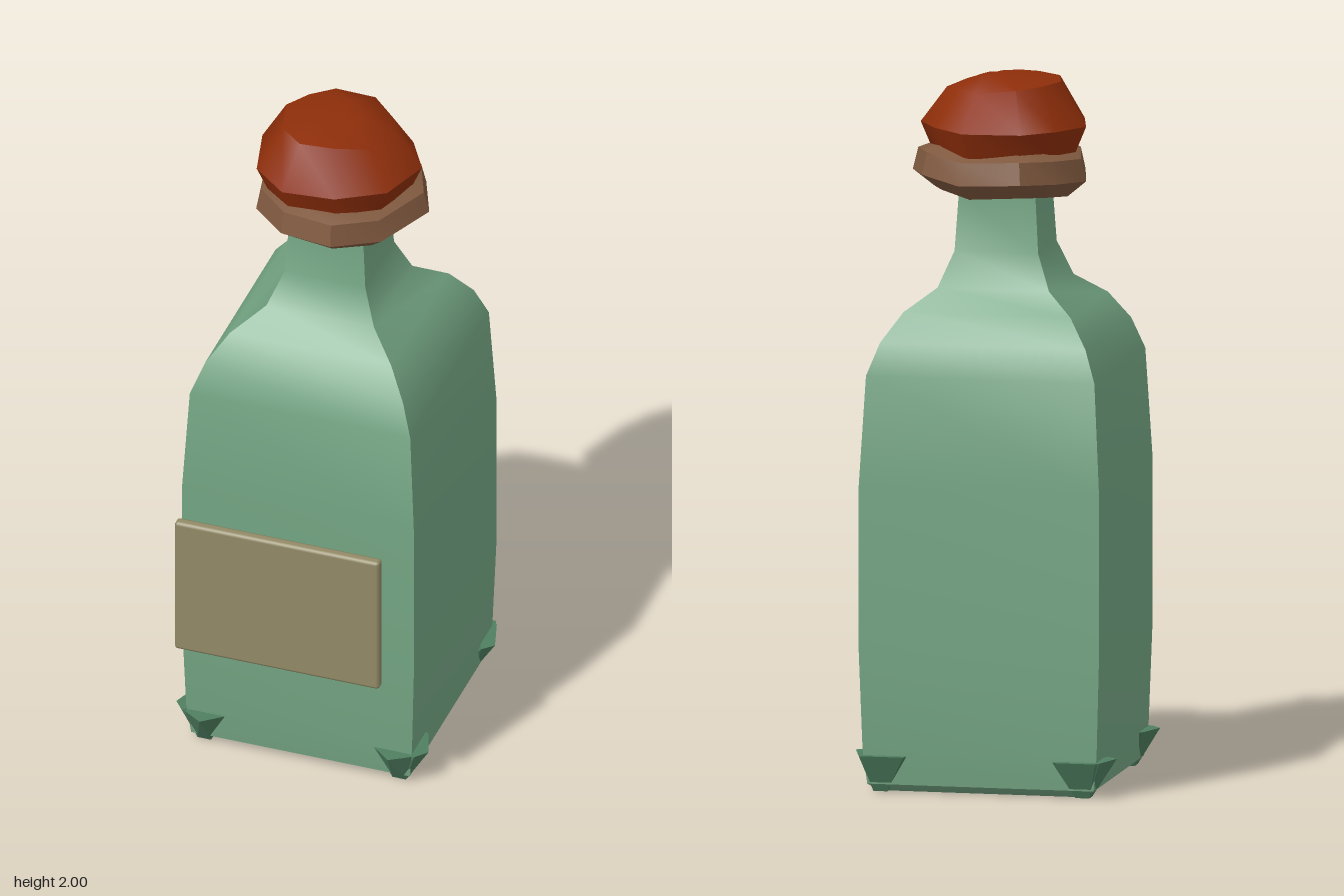
import * as THREE from 'three';
import { toCreasedNormals } from 'three/addons/utils/BufferGeometryUtils.js';
import { RoundedBoxGeometry } from 'three/addons/geometries/RoundedBoxGeometry.js';
import { ConvexGeometry } from 'three/addons/geometries/ConvexGeometry.js';

const CZ = -0.083; // depth of the bottle axis

function material(name, color) {
  const m = new THREE.MeshStandardMaterial({ color });
  m.name = name;
  return m;
}

// Skin over closed rings of [x, y, z] points, counterclockwise from above,
// listed bottom to top and capped at both ends
function loft(rings, crease) {
  const n = rings[0].length, pos = [], index = [];
  rings.forEach(r => r.forEach(p => pos.push(...p)));
  for (let k = 0; k < rings.length - 1; k++) {
    for (let i = 0; i < n; i++) {
      const a = k * n + i, b = k * n + (i + 1) % n;
      index.push(a, b, a + n, b, b + n, a + n);
    }
  }
  [0, rings.length - 1].forEach(k => {
    const c = pos.length / 3, mid = [0, 0, 0];
    rings[k].forEach(p => p.forEach((v, j) => { mid[j] += v / n; }));
    pos.push(...mid);
    for (let i = 0; i < n; i++) {
      const a = k * n + i, b = k * n + (i + 1) % n;
      if (k === 0) index.push(c, b, a); else index.push(c, a, b);
    }
  });
  const g = new THREE.BufferGeometry();
  g.setAttribute('position', new THREE.Float32BufferAttribute(pos, 3));
  g.setIndex(index);
  return toCreasedNormals(g, crease);
}

// Outline scaled about the bottle axis, with its own height at each point
const ring = (outline, scale, y, wobble = [0]) => outline.map(([x, z], i) =>
  [x * scale, y + wobble[i % wobble.length], CZ + (z - CZ) * scale]);

export function createModel() {
  const group = new THREE.Group();
  const glass = material('green glass', 0x74a583);
  const footGlass = material('dark green glass', 0x4f7f60);
  const red = material('red wax', 0x8e2e0a);
  const brown = material('brown cloth', 0x80593f);
  const paper = material('label paper', 0x928a66);
  const add = (name, geometry, mat) => {
    const mesh = new THREE.Mesh(geometry, mat);
    mesh.name = name;
    group.add(mesh);
    return mesh;
  };

  // Square bottle: half width against height
  const profile = [[0.295, 0], [0.325, 0.022], [0.336, 0.12], [0.345, 0.4], [0.345, 0.87], [0.328, 1.18],
    [0.295, 1.27], [0.24, 1.35], [0.16, 1.41], [0.12, 1.51], [0.11, 1.67], [0.11, 1.78]];
  const square = [[-1, 1], [1, 1], [1, -1], [-1, -1]];
  add('bottle', loft(profile.map(([w, y]) =>
    square.map(([x, z]) => [x * w, y, CZ + z * w])), 0.75), glass);

  // Pointed feet: two inverted spikes on each bottom corner
  const spike = (top, bottom, s) => new ConvexGeometry([
    ...top.map(([x, z]) => new THREE.Vector3(x * s, 0.105, z)),
    ...bottom.map(([x, z]) => new THREE.Vector3(x * s, 0, z))]);
  const frontBase = [[0.27, 0.19], [0.31, 0.19], [0.27, 0.23], [0.31, 0.23]];
  const backBase = frontBase.map(([x, z]) => [x, 2 * CZ - z]);
  const frontTop = [[0.22, 0.25], [0.28, 0.3], [0.338, 0.262], [0.3, 0.22]];
  const frontSideTop = [[0.33, 0.13], [0.345, 0.14], [0.375, 0.225], [0.345, 0.262], [0.31, 0.22]];
  const backTop = [[0.21, -0.42], [0.215, -0.445], [0.338, -0.445], [0.345, -0.42]];
  const backSideTop = [[0.33, -0.425], [0.345, -0.43], [0.375, -0.33], [0.345, -0.3], [0.31, -0.37]];
  for (const s of [-1, 1]) {
    add('footFrontSpike', spike(frontTop, frontBase, s), footGlass);
    add('footFrontSideSpike', spike(frontSideTop, frontBase, s), footGlass);
    add('footBackSpike', spike(backTop, backBase, s), footGlass);
    add('footBackSideSpike', spike(backSideTop, backBase, s), footGlass);
  }

  // Crumpled cloth collar around the neck
  const collar = [[-0.09, 0.155], [0.06, 0.16], [0.18, 0.07], [0.265, -0.09], [0.21, -0.22],
    [0.085, -0.31], [-0.095, -0.325], [-0.18, -0.25], [-0.235, -0.1], [-0.2, 0.05]];
  const fold = [0.01, 0, -0.012, 0.005, 0.01, -0.005, 0.005, 0, -0.012, 0];
  add('collar', loft([
    ring(collar, 0.45, 1.685),
    ring(collar, 0.77, 1.67, fold),
    ring(collar, 1, 1.715, fold),
    ring(collar, 0.94, 1.778, fold),
    ring(collar, 0.72, 1.8, fold),
  ], 0.5), brown);

  // Faceted wax stopper with an uneven crown
  const stopper = [[-0.09, 0.145], [0.06, 0.13], [0.19, 0.05], [0.24, -0.1], [0.175, -0.21],
    [0.075, -0.31], [-0.09, -0.295], [-0.175, -0.21], [-0.235, -0.1], [-0.195, 0.06]];
  const crown = [0.005, 0.005, -0.012, -0.02, -0.015, -0.015, -0.005, 0, 0.005, 0.005];
  add('stopper', loft([
    ring(stopper, 0.87, 1.785),
    ring(stopper, 1, 1.858),
    ring(stopper, 0.69, 1.978, crown),
    ring(stopper, 0.3, 1.995, [0.005, 0, 0, 0, 0.005]),
  ], 0.8), red);

  // Label plate standing off the front
  add('label', new RoundedBoxGeometry(0.61, 0.432, 0.032, 1, 0.01), paper).position.set(0, 0.658, 0.426);

  return group;
}
